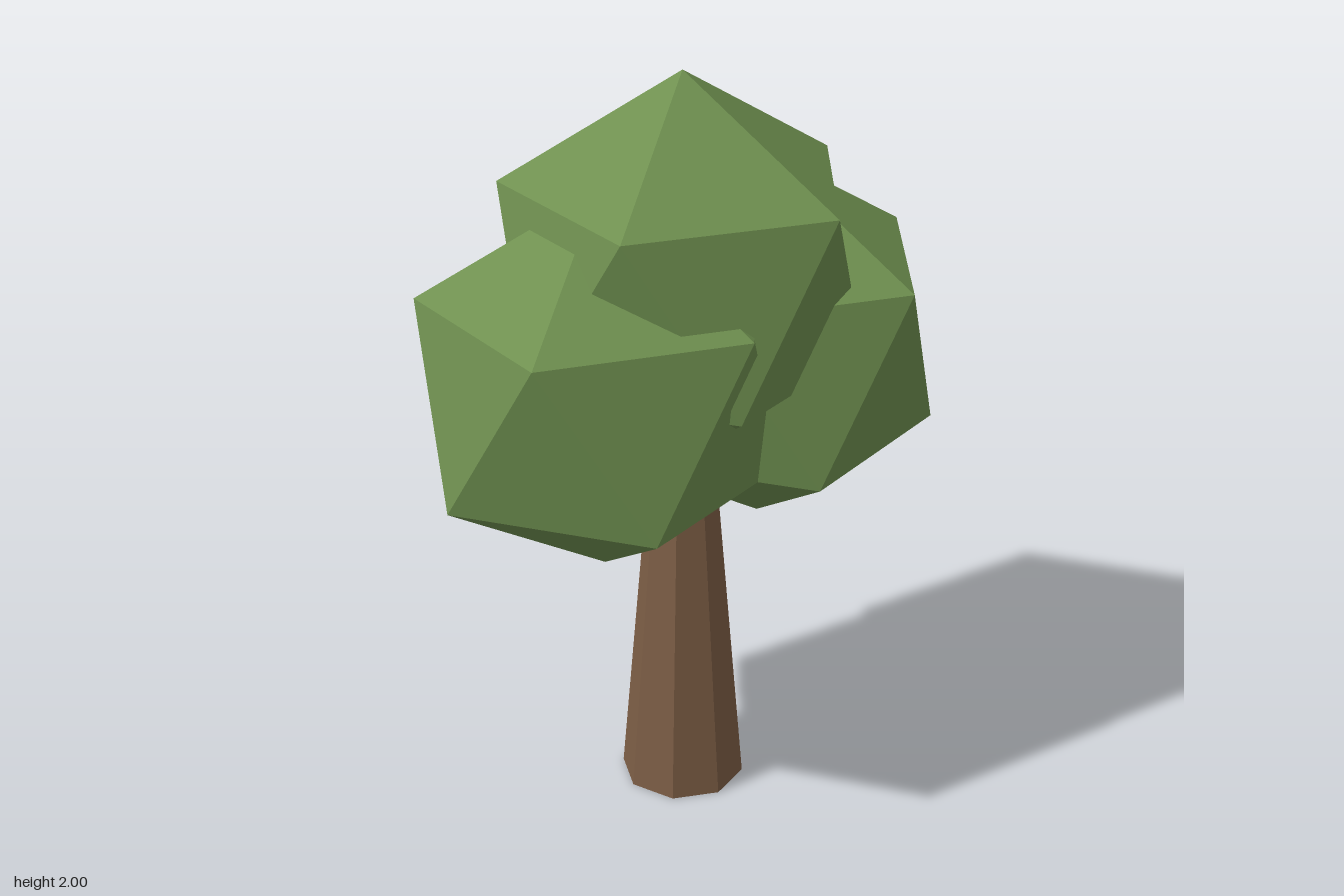
import * as THREE from 'three';

const leafMaterial = new THREE.MeshStandardMaterial({ color: 0x6f9050, flatShading: true });
const barkMaterial = new THREE.MeshStandardMaterial({ color: 0x7c5d45, flatShading: true });

// Icosahedron turned so that one corner points straight up and its upper ring has a corner at +x
function crownGeometry(radius) {
  const golden = (1 + Math.sqrt(5)) / 2;
  return new THREE.IcosahedronGeometry(radius, 0).rotateZ(-Math.atan(1 / golden));
}

export function createModel() {
  const tree = new THREE.Group();
  tree.name = 'tree';

  // Tapered eight-sided trunk, its top hidden in the foliage
  const height = 1;
  const trunk = new THREE.Mesh(new THREE.CylinderGeometry(0.083, 0.167, height, 8), barkMaterial);
  trunk.name = 'trunk';
  trunk.position.y = height / 2;
  tree.add(trunk);

  // Three equal overlapping clumps of foliage
  const foliage = crownGeometry(0.51);
  const clumps = [
    ['foliageTop', 0, 1.49],
    ['foliageLeft', 0.247, 1.24],
    ['foliageRight', -0.247, 1.24],
  ];
  for (const [name, x, y] of clumps) {
    const clump = new THREE.Mesh(foliage, leafMaterial);
    clump.name = name;
    clump.position.set(x, y, 0);
    tree.add(clump);
  }
  return tree;
}
